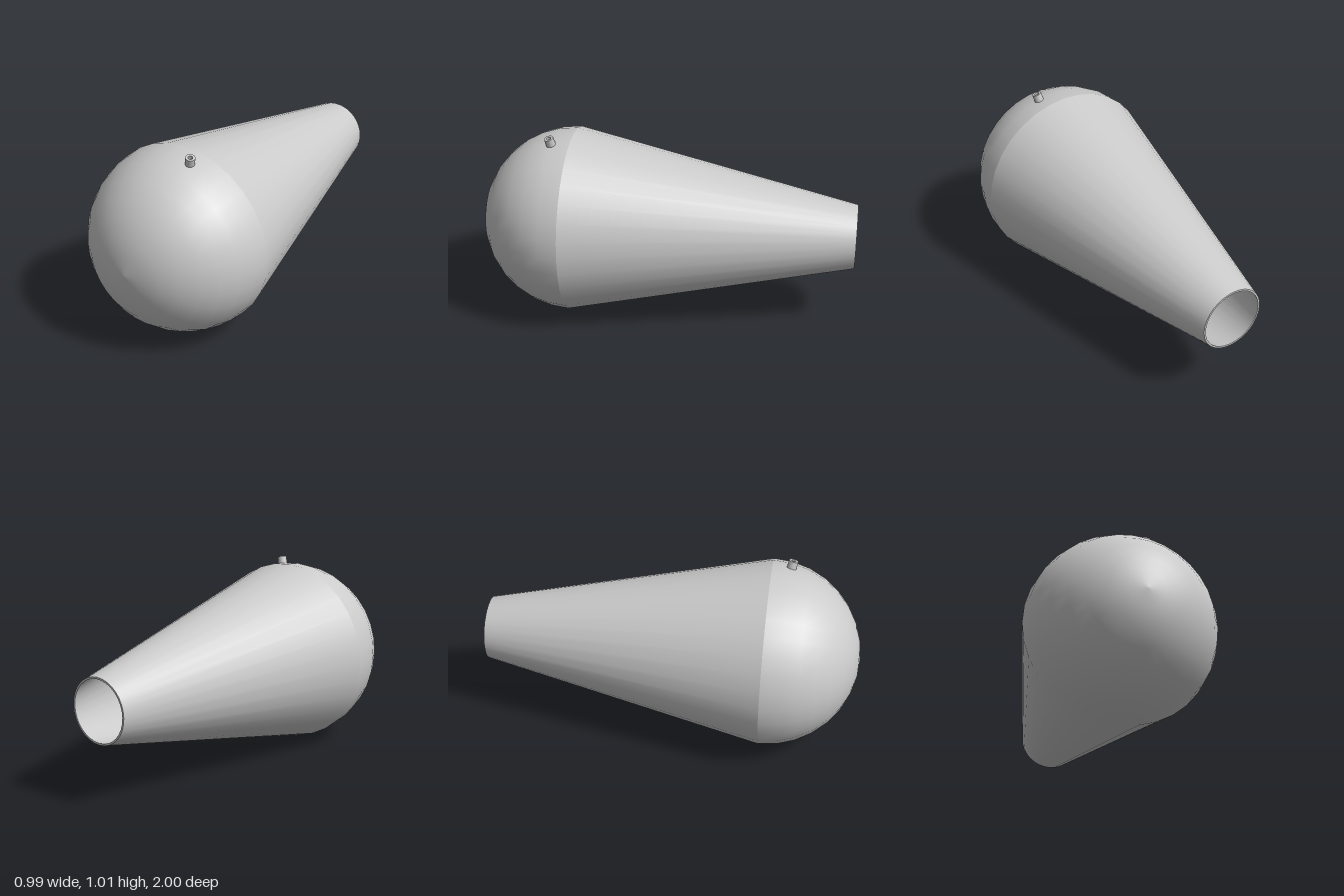
import * as THREE from 'three';

const R = 0.496, MOUTH = 0.17, WALL = 0.01, CY = 0.499, CZ = 0.504, SIDES = 32;
const material = new THREE.MeshStandardMaterial({ color: 0xcccccc, side: THREE.DoubleSide });

// Turned part: profile points are [radius, height along the axis]
function lathe(name, points, sides = SIDES) {
  const profile = points.map(([r, h]) => new THREE.Vector2(r, h));
  const mesh = new THREE.Mesh(new THREE.LatheGeometry(profile, sides), material);
  mesh.name = name;
  return mesh;
}

// Quarter arc from the equator to the pole
function arc(radius, steps = 8) {
  return Array.from({ length: steps + 1 }, (_, i) => {
    const a = (i / steps) * Math.PI / 2;
    return [i === steps ? 0 : radius * Math.cos(a), radius * Math.sin(a)];
  });
}

export function createModel() {
  const model = new THREE.Group();
  model.name = 'flask';

  // Hollow body, its axis laid along z with the dome to the front
  const body = new THREE.Group();
  body.name = 'body';
  const back = -1 - CZ;
  const inner = R - WALL, innerMouth = MOUTH - WALL;
  body.add(
    lathe('dome', arc(R)),
    lathe('taperedNeck', [[MOUTH, back], [R, 0]]),
    lathe('mouthRim', [[innerMouth, back], [MOUTH, back]]),
    lathe('innerNeck', [[inner, 0], [innerMouth, back]]),
    lathe('innerDome', arc(inner).reverse())
  );
  body.rotation.x = Math.PI / 2;
  body.position.set(0, CY, CZ);
  model.add(body);

  // Small tubular valve standing out radially from the dome
  const valve = new THREE.Group();
  valve.name = 'valve';
  const r = 0.025, hole = 0.012, low = 0.485, top = 0.534;
  valve.add(
    lathe('valveWall', [[r, low], [r, top]], 16),
    lathe('valveRim', [[r, top], [hole, top]], 16),
    lathe('valveBore', [[hole, top], [hole, low]], 16)
  );
  const direction = new THREE.Vector3(0.118, 0.5, 0.105).normalize();
  valve.quaternion.setFromUnitVectors(new THREE.Vector3(0, 1, 0), direction);
  valve.position.copy(body.position);
  model.add(valve);

  return model;
}
